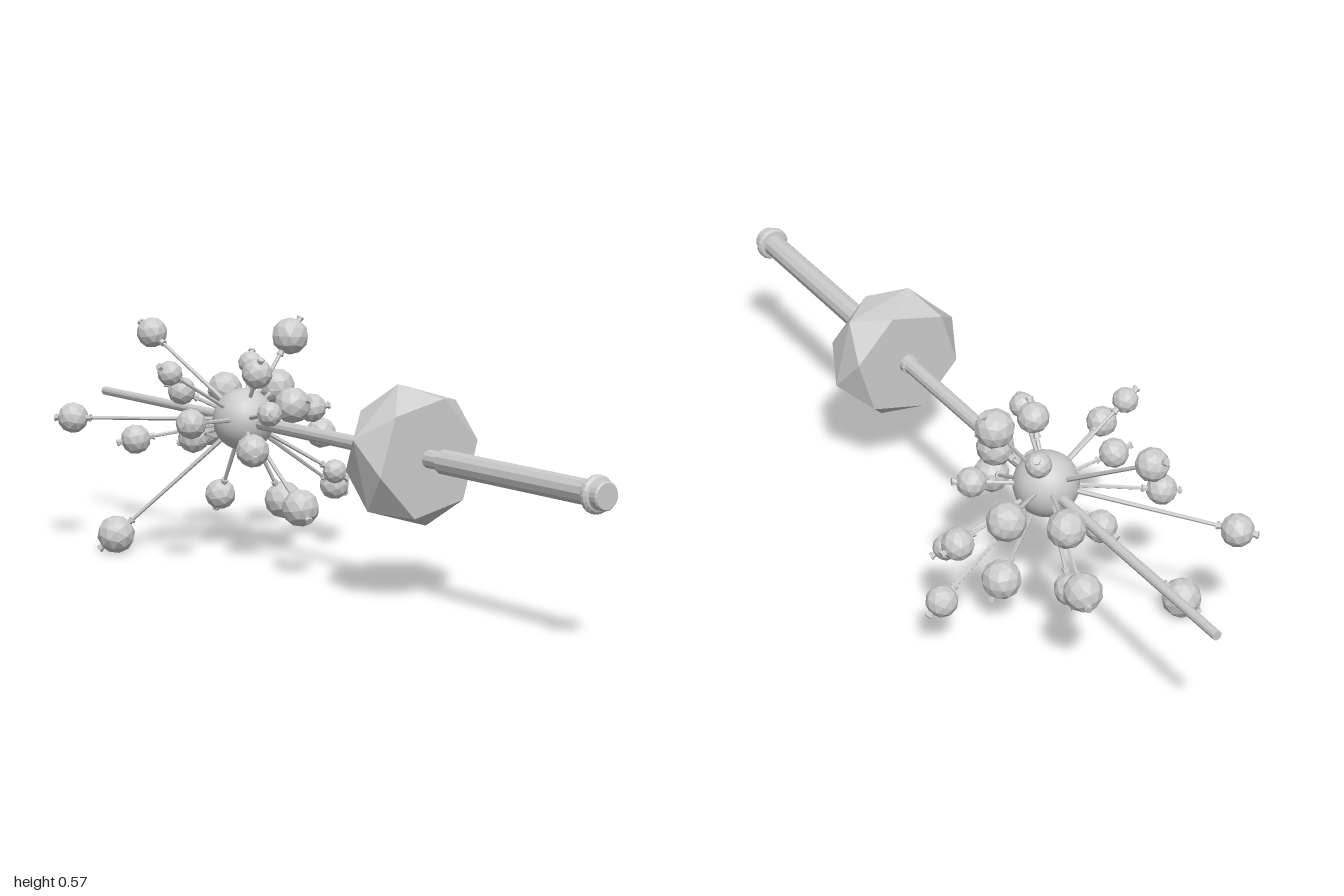
import * as THREE from 'three';
import { ConvexGeometry } from 'three/addons/geometries/ConvexGeometry.js';

const AXIS = new THREE.Vector2(-0.01, 0.326);
const HUB = new THREE.Vector3(-0.012, 0.328, -0.34);
const flat = new THREE.MeshStandardMaterial({ color: 0xcccccc, flatShading: true });
const smooth = new THREE.MeshStandardMaterial({ color: 0xcccccc });

function add(parent, name, geometry, material = flat) {
  const mesh = new THREE.Mesh(geometry, material);
  mesh.name = name;
  parent.add(mesh);
  return mesh;
}

// Turned part along z; profile is [radius, z] from back to front
function turned(parent, name, profile, sides) {
  const g = new THREE.LatheGeometry(profile.map(([r, z]) => new THREE.Vector2(r, z)), sides);
  g.rotateX(Math.PI / 2);
  const mesh = add(parent, name, g);
  mesh.position.set(AXIS.x, AXIS.y, 0);
  return mesh;
}

// Hexagonal gem: wide girdle ring between two twisted, smaller hexagons
function gemGeometry() {
  const points = [];
  const ring = (radius, z, degrees) => {
    for (let i = 0; i < 6; i++) {
      const a = THREE.MathUtils.degToRad(degrees + i * 60);
      points.push(new THREE.Vector3(radius * Math.cos(a), radius * Math.sin(a), z));
    }
  };
  ring(0.136, 0.065, 13);
  ring(0.166, 0, 43.5);
  ring(0.136, -0.065, 13);
  return new ConvexGeometry(points);
}

// Ball on a thin tapering spoke that points away from the hub
function spoke(x, y, z, r) {
  const group = new THREE.Group();
  group.name = 'spoke';
  const dir = new THREE.Vector3(x, y, z).sub(HUB);
  const d = dir.length();
  group.position.copy(HUB);
  group.quaternion.setFromUnitVectors(new THREE.Vector3(0, 1, 0), dir.normalize());
  add(group, 'spokeRod', new THREE.CylinderGeometry(0.004, 0.006, d, 6)).position.y = d / 2;
  add(group, 'spokeBall', new THREE.IcosahedronGeometry(r, 1)).position.y = d;
  for (const side of [-1, 1]) {
    add(group, 'collar', new THREE.CylinderGeometry(0.007, 0.007, 0.016, 6)).position.y = d + side * (r + 0.001);
    add(group, 'collarRim', new THREE.CylinderGeometry(0.009, 0.009, 0.005, 6)).position.y = d + side * (r + 0.007);
  }
  return group;
}

// Ball centres and radii
const BALLS = [
  [0.127, 0.519, -0.347, 0.045], [-0.088, 0.515, -0.635, 0.038],
  [-0.237, 0.458, -0.31, 0.03], [-0.146, 0.4, -0.405, 0.034],
  [-0.24, 0.35, -0.214, 0.036], [-0.282, 0.313, -0.69, 0.038],
  [-0.254, 0.288, -0.44, 0.036], [-0.258, 0.045, -0.53, 0.046],
  [-0.062, 0.162, -0.025, 0.044], [0.003, 0.127, -0.47, 0.038],
  [0.109, 0.12, -0.352, 0.046], [0.278, 0.137, -0.377, 0.037],
  [0.205, 0.191, -0.27, 0.03], [0.235, 0.271, -0.373, 0.038],
  [0.182, 0.378, -0.488, 0.045], [0.145, 0.35, -0.28, 0.035],
  [0.065, 0.45, -0.428, 0.03], [0.09, 0.26, -0.652, 0.044],
  [0.08, 0.37, -0.567, 0.044], [-0.1, 0.375, -0.096, 0.03],
  [0.042, 0.372, -0.212, 0.044], [-0.03, 0.448, -0.254, 0.037],
  [-0.08, 0.275, -0.198, 0.04], [-0.07, 0.272, -0.475, 0.038],
];

export function createModel() {
  const model = new THREE.Group();

  // Shaft tapering to the back tip
  turned(model, 'shaft', [[0, -1], [0.011, -1], [0.012, -0.4], [0.016, -0.3], [0.019, 0.45], [0, 0.45]], 12);
  turned(model, 'gemCollar', [[0.018, 0.255], [0.023, 0.257], [0.023, 0.28], [0.018, 0.28]], 12);

  // Grip and stepped end cap
  turned(model, 'grip', [[0, 0.4], [0.021, 0.4], [0.021, 0.45], [0.028, 0.453], [0.028, 0.965], [0, 0.965]], 12);
  turned(model, 'endCap', [
    [0.026, 0.955], [0.037, 0.957], [0.041, 0.963], [0.041, 0.971], [0.036, 0.976],
    [0.031, 0.978], [0.031, 0.996], [0.028, 1], [0, 1],
  ], 20);

  // Faceted gem guard
  add(model, 'gemGuard', gemGeometry()).position.set(AXIS.x, AXIS.y, 0.336);

  // Hub with its spokes
  add(model, 'hub', new THREE.SphereGeometry(0.075, 24, 16), smooth).position.copy(HUB);
  for (const ball of BALLS) model.add(spoke(...ball));

  return model;
}
